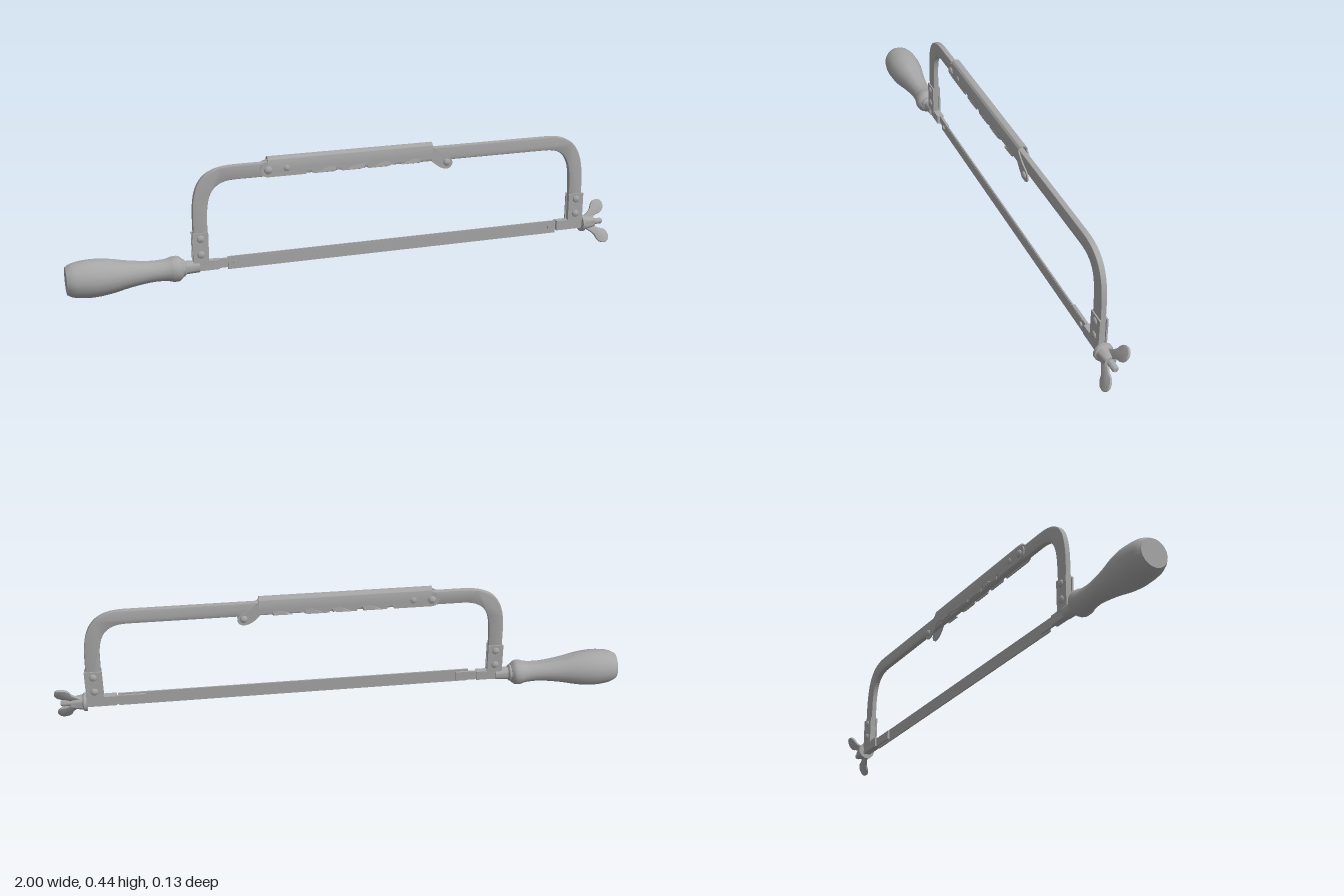
import * as THREE from 'three';
import { toCreasedNormals } from 'three/addons/utils/BufferGeometryUtils.js';
import { ConvexGeometry } from 'three/addons/geometries/ConvexGeometry.js';

const AXIS_Y = 0.075; // height of the handle and tension rod axis

export function createModel() {
  const model = new THREE.Group();
  model.name = 'hacksaw';
  const steel = new THREE.MeshStandardMaterial({ color: 0xa6a6a6 });
  steel.name = 'grey steel';

  const add = (name, geometry, x = 0, y = 0, z = 0, parent = model) => {
    const mesh = new THREE.Mesh(geometry, steel);
    mesh.name = name;
    mesh.position.set(x, y, z);
    parent.add(mesh);
    return mesh;
  };
  const box = (name, x0, x1, y0, y1, z0, z1) =>
    add(name, new THREE.BoxGeometry(x1 - x0, y1 - y0, z1 - z0), (x0 + x1) / 2, (y0 + y1) / 2, (z0 + z1) / 2);

  // Flat plate centred on z = 0, with an optional small bevel
  const plate = (shape, thick, bevel = 0) => {
    const g = new THREE.ExtrudeGeometry(shape, {
      depth: thick - 2 * bevel, curveSegments: 12, bevelEnabled: bevel > 0,
      bevelThickness: bevel, bevelSize: bevel, bevelOffset: -bevel, bevelSegments: 2,
    });
    g.translate(0, 0, -thick / 2 + bevel);
    return toCreasedNormals(g, 0.6);
  };

  // Turned part along x, from [x, radius] pairs
  const turned = (name, profile, sides, smooth = false) => {
    let pts = profile.map(([x, r]) => new THREE.Vector2(r, x));
    if (smooth) {
      pts = new THREE.SplineCurve(pts).getPoints(40);
      pts.unshift(new THREE.Vector2(0, pts[0].y));
      pts.push(new THREE.Vector2(0, pts[pts.length - 1].y));
    }
    const g = new THREE.LatheGeometry(pts, sides);
    g.rotateZ(-Math.PI / 2);
    return add(name, toCreasedNormals(g, 0.7), 0, AXIS_Y, 0);
  };

  // Domed rivet heads on both faces
  const rivet = (x, y, zFace, r = 0.013, h = 0.008) => {
    for (const s of [1, -1]) {
      const pts = [[r, 0], [r, h * 0.35], [r * 0.75, h * 0.8], [0, h]].map(p => new THREE.Vector2(...p));
      const g = new THREE.LatheGeometry(pts, 12);
      g.rotateX(s * Math.PI / 2);
      add('rivet', g, x, y, s * zFace);
    }
  };

  // Handle and ferrule
  turned('handle', [[-1, 0.047], [-0.975, 0.059], [-0.92, 0.065], [-0.86, 0.06], [-0.79, 0.046],
    [-0.72, 0.037], [-0.67, 0.038], [-0.645, 0.044], [-0.625, 0.043], [-0.612, 0.032]], 18, true);
  turned('ferrule', [[-0.62, 0], [-0.62, 0.031], [-0.606, 0.03], [-0.6, 0.023], [-0.555, 0.021], [-0.555, 0]], 16);

  // Bow-shaped frame
  const bow = new THREE.Shape();
  bow.moveTo(-0.572, 0.09);
  bow.lineTo(-0.572, 0.26);
  bow.bezierCurveTo(-0.57, 0.37, -0.54, 0.422, -0.42, 0.422);
  bow.lineTo(0.74, 0.422);
  bow.bezierCurveTo(0.85, 0.422, 0.882, 0.36, 0.886, 0.25);
  bow.lineTo(0.89, 0.09);
  bow.lineTo(0.838, 0.09);
  bow.lineTo(0.834, 0.25);
  bow.bezierCurveTo(0.83, 0.33, 0.81, 0.372, 0.73, 0.372);
  bow.lineTo(-0.42, 0.372);
  bow.bezierCurveTo(-0.5, 0.372, -0.52, 0.33, -0.522, 0.25);
  bow.lineTo(-0.525, 0.09);
  bow.closePath();
  add('frame', plate(bow, 0.02, 0.004));

  // Riveted brackets at the feet of the frame
  for (const [x0, x1] of [[-0.576, -0.522], [0.834, 0.893]]) {
    for (const s of [1, -1]) box('footBracket', x0, x1, 0.085, 0.196, s * 0.0115 - 0.003, s * 0.0115 + 0.003);
    for (const y of [0.12, 0.176]) rivet((x0 + x1) / 2, y, 0.0142);
  }

  // Channel spine over the top bar
  const u = new THREE.Shape();
  u.moveTo(0.017, 0.395);
  u.lineTo(0.017, 0.423);
  u.absarc(0, 0.423, 0.017, 0, Math.PI, false);
  u.lineTo(-0.017, 0.395);
  u.lineTo(-0.0125, 0.395);
  u.lineTo(-0.0125, 0.423);
  u.absarc(0, 0.423, 0.0125, Math.PI, 0, true);
  u.lineTo(0.0125, 0.395);
  u.closePath();
  const spine = plate(u, 0.597);
  spine.rotateY(Math.PI / 2);
  add('channelSpine', spine, -0.0115, 0, 0);

  // Channel cheeks with adjusting notches and a locking lobe
  const cheek = new THREE.Shape();
  cheek.moveTo(-0.31, 0.425);
  cheek.bezierCurveTo(-0.345, 0.425, -0.345, 0.371, -0.31, 0.371);
  for (const x of [-0.165, -0.06, 0.035]) {
    cheek.lineTo(x - 0.012, 0.371);
    cheek.lineTo(x - 0.008, 0.386);
    cheek.lineTo(x + 0.008, 0.382);
    cheek.lineTo(x + 0.012, 0.371);
  }
  cheek.lineTo(0.12, 0.371);
  cheek.lineTo(0.15, 0.382);
  cheek.lineTo(0.28, 0.382);
  cheek.quadraticCurveTo(0.31, 0.342, 0.342, 0.342);
  cheek.bezierCurveTo(0.368, 0.346, 0.368, 0.378, 0.345, 0.387);
  cheek.quadraticCurveTo(0.315, 0.395, 0.287, 0.425);
  cheek.closePath();
  for (const s of [1, -1]) {
    add('channelCheek', plate(cheek, 0.0045), 0, 0, s * 0.0145);
    // Pressed wedge beside each notch
    for (const x of [-0.14, -0.035, 0.06, 0.17]) {
      const v = (dx, y, z) => new THREE.Vector3(x + dx, y, s * z);
      add('pressedWedge', new ConvexGeometry([v(0, 0.372, 0.014), v(0.07, 0.372, 0.014), v(0.085, 0.408, 0.014),
        v(0.012, 0.374, 0.0195), v(0.066, 0.374, 0.0185)]));
    }
  }
  rivet(-0.31, 0.396, 0.0165, 0.014, 0.01);
  rivet(-0.245, 0.398, 0.0165, 0.011, 0.006);
  rivet(0.34, 0.366, 0.0165, 0.013, 0.01);

  // Blade with end holes
  const bladeShape = new THREE.Shape();
  bladeShape.moveTo(-0.455, 0.054);
  bladeShape.lineTo(0.785, 0.051);
  bladeShape.lineTo(0.785, 0.098);
  bladeShape.lineTo(-0.455, 0.1);
  bladeShape.closePath();
  add('blade', plate(bladeShape, 0.005), 0, 0, 0.004);
  box('bladeSpine', -0.43, 0.77, 0.084, 0.094, 0.0055, 0.0075);

  // Blade holders with hooked pins
  for (const [x0, x1, pinX] of [[-0.49, -0.41, -0.43], [0.69, 0.795, 0.762]]) {
    box('bladeTab', x0, x1, 0.06, 0.093, -0.006, 0.0015);
    const pin = new THREE.CylinderGeometry(0.008, 0.008, 0.018, 10);
    pin.rotateX(Math.PI / 2);
    add('bladePin', pin, pinX, 0.075, 0.003);
  }
  box('rearHolder', -0.575, -0.485, 0.06, 0.093, -0.012, 0.012);
  box('frontHolder', 0.79, 0.9, 0.06, 0.096, -0.013, 0.013);

  // Threaded rod and wing nut
  turned('tensionRod', [[0.88, 0], [0.88, 0.011], [0.978, 0.011], [0.983, 0.008], [0.983, 0]], 14);
  turned('wingNutHub', [[0.893, 0], [0.893, 0.032], [0.903, 0.032], [0.907, 0.027], [0.947, 0.02], [0.947, 0]], 18);
  const wing = new THREE.Shape();
  wing.moveTo(0.908, 0.008);
  wing.lineTo(0.943, 0.008);
  wing.quadraticCurveTo(0.952, 0.024, 0.98, 0.03);
  wing.bezierCurveTo(1.008, 0.042, 1.004, 0.083, 0.977, 0.083);
  wing.bezierCurveTo(0.952, 0.082, 0.947, 0.062, 0.944, 0.052);
  wing.quadraticCurveTo(0.93, 0.034, 0.908, 0.022);
  wing.closePath();
  for (const turn of [0, Math.PI]) {
    const mesh = add('wing', plate(wing, 0.009, 0.002), 0, AXIS_Y, 0);
    mesh.rotation.x = turn - 0.49;
  }
  return model;
}
